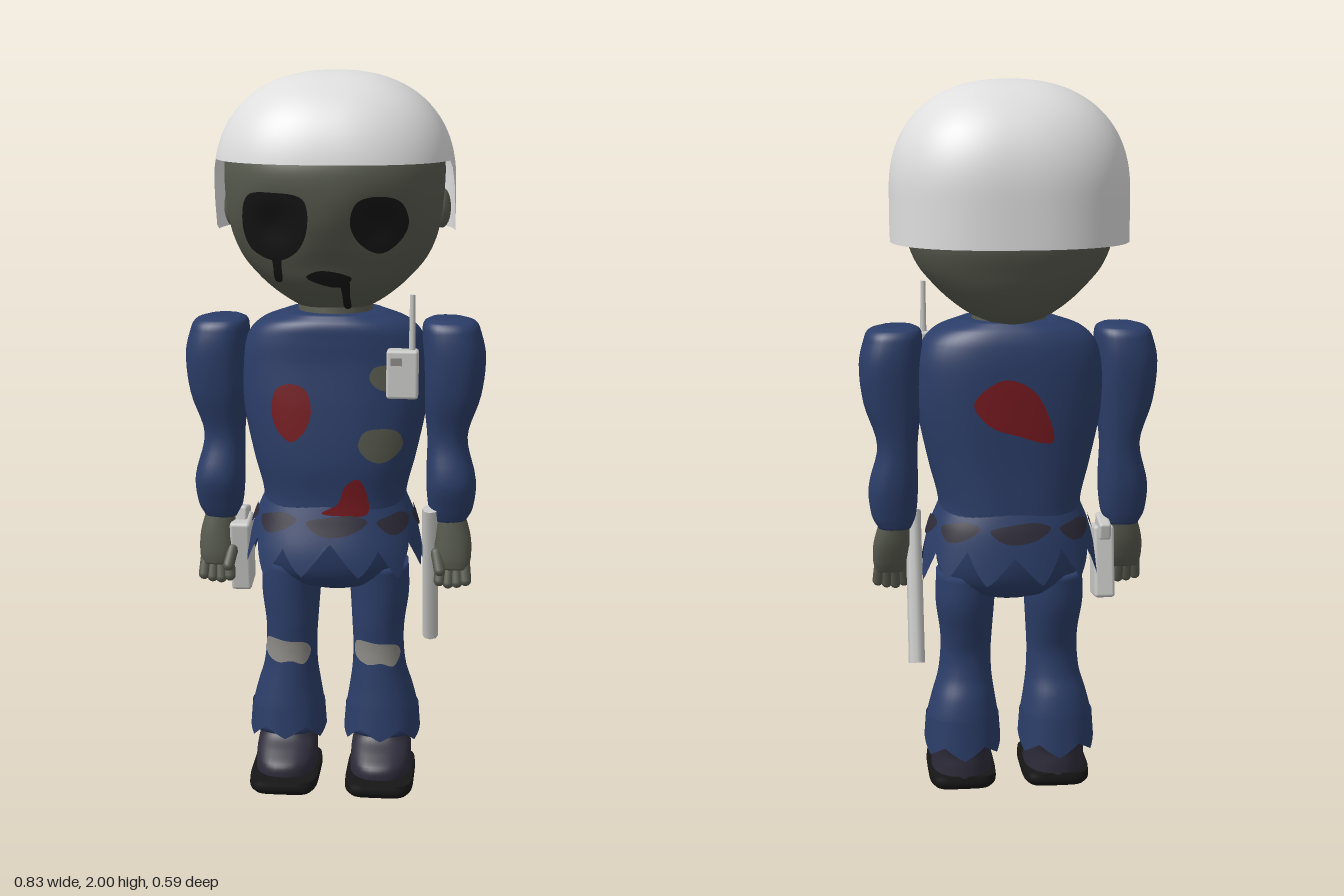
import * as THREE from 'three';
import { RoundedBoxGeometry } from 'three/addons/geometries/RoundedBoxGeometry.js';

const mat = (name, color, side = THREE.FrontSide) => {
  const m = new THREE.MeshStandardMaterial({ color, side });
  m.name = name;
  return m;
};

// Grid surface from fn(u, v); u wraps round
function grid(nu, nv, fn) {
  const pos = [], idx = [];
  for (let i = 0; i <= nv; i++)
    for (let j = 0; j < nu; j++) pos.push(...fn(j / nu, i / nv));
  for (let i = 0; i < nv; i++)
    for (let j = 0; j < nu; j++) {
      const a = i * nu + j, b = i * nu + (j + 1) % nu, c = a + nu, d = b + nu;
      idx.push(a, c, b, b, c, d);
    }
  const g = new THREE.BufferGeometry();
  g.setAttribute('position', new THREE.Float32BufferAttribute(pos, 3));
  g.setIndex(idx);
  g.computeVertexNormals();
  return g;
}

// Smooth cross-section [y, cx, cz, rx, rz] at height y
function section(r, y) {
  const last = r.length - 1;
  y = Math.min(Math.max(y, r[0][0]), r[last][0]);
  let i = 0;
  while (i < last - 1 && y > r[i + 1][0]) i++;
  const h = r[i + 1][0] - r[i][0], t = (y - r[i][0]) / h;
  const slope = (k, c) => {
    const p = r[Math.max(k - 1, 0)], q = r[Math.min(k + 1, last)];
    return (q[c] - p[c]) / (q[0] - p[0]);
  };
  return [1, 2, 3, 4].map(c =>
    r[i][c] * (2 * t ** 3 - 3 * t * t + 1) + slope(i, c) * h * (t ** 3 - 2 * t * t + t) +
    r[i + 1][c] * (3 * t * t - 2 * t ** 3) + slope(i + 1, c) * h * (t ** 3 - t * t));
}

const pw = (v, n) => Math.sign(v) * Math.abs(v) ** (2 / n);
const same = p => p;
function onLoft(r, n, a, y, k = 1) {
  const [cx, cz, rx, rz] = section(r, y);
  return [cx + k * rx * pw(Math.cos(a), n), y, cz + k * rz * pw(Math.sin(a), n)];
}

// Closed body through the sections, capped at both ends
function loft(r, n = 2, nu = 32, warp = same) {
  const ys = [r[0][0]];
  for (let i = 1; i < r.length; i++)
    for (let k = 1; k <= 5; k++) ys.push(r[i - 1][0] + (r[i][0] - r[i - 1][0]) * k / 5);
  const nv = ys.length + 1;
  return grid(nu, nv, (u, v) => {
    const i = Math.round(v * nv), k = i === 0 || i === nv ? 0 : 1;
    return warp(onLoft(r, n, u * Math.PI * 2, ys[Math.min(Math.max(i - 1, 0), ys.length - 1)], k));
  });
}

// Maps (x, y) onto the front (s = 1) or back (s = -1) of a loft
const face = (r, n, s = 1, warp = same) => (x, y) => {
  const [cx, cz, rx, rz] = section(r, y), px = s * x;
  const t = Math.min(1, Math.abs(px - cx) / rx);
  const p = warp([px, y, cz + s * rz * (1 - t ** n) ** (1 / n)]);
  p[2] += s * 0.006;
  return p;
};

// Thin painted patch, outline given counter-clockwise
function patch(pts, surf) {
  const curve = new THREE.CatmullRomCurve3(pts.map(p => new THREE.Vector3(p[0], p[1], 0)), true);
  const c = [0, 1].map(k => pts.reduce((s, p) => s + p[k], 0) / pts.length);
  return grid(48, 6, (u, v) => {
    const p = curve.getPoint(u);
    return surf(c[0] + (p.x - c[0]) * v, c[1] + (p.y - c[1]) * v);
  });
}
const oval = (x, y, rx, ry) => [0, 1, 2, 3, 4, 5, 6, 7].map(i => {
  const a = i * Math.PI / 4, w = 1 + 0.06 * Math.sin(i * 2.4);
  return [x + rx * w * Math.cos(a), y + ry * w * Math.sin(a)];
});
// Narrow vertical trickle
const drip = (x, top, bottom, w) => {
  const mid = (top + bottom) / 2;
  return [[x + w, mid], [x + w, top], [x - w, top], [x - w, mid], [x - w * 0.7, bottom], [x + w * 0.7, bottom]];
};
const zigzag = t => Math.abs(2 * (t - Math.floor(t)) - 1);

export function createModel() {
  const model = new THREE.Group();
  const cloth = mat('blue cloth', 0x2b3d68, THREE.DoubleSide);
  const skin = mat('grey green skin', 0x575a4e);
  const shell = mat('helmet white', 0xdedede, THREE.DoubleSide);
  const black = mat('black', 0x161616);
  const red = mat('dried red', 0x75191f);
  const dark = mat('dark violet', 0x2e2c3a);
  const metal = mat('light grey', 0xc8c8c6);
  const knee = mat('knee grey', 0x8c8a85);
  const add = (name, geo, m, parent = model) => {
    const mesh = new THREE.Mesh(geo, m);
    mesh.name = name;
    parent.add(mesh);
    return mesh;
  };

  // Head with sunken eye sockets
  const headR = [[1.35, 0, -0.025, 0.06, 0.09], [1.375, 0, -0.025, 0.115, 0.13], [1.41, 0, -0.018, 0.165, 0.17],
    [1.45, 0, -0.012, 0.208, 0.204], [1.5, 0, -0.01, 0.25, 0.228], [1.56, 0, -0.003, 0.277, 0.255],
    [1.62, 0, 0.012, 0.289, 0.268], [1.7, 0, 0.015, 0.297, 0.278], [1.77, 0, 0.01, 0.295, 0.278],
    [1.85, 0, 0, 0.265, 0.245], [1.92, 0, 0, 0.18, 0.16]];
  const sockets = ([x, y, z]) => {
    if (z > 0) for (const ex of [-0.14, 0.135])
      z -= 0.032 * Math.exp(-(((x - ex) / 0.07) ** 2) - ((y - 1.61) / 0.06) ** 2);
    return [x, y, z];
  };
  add('head', loft(headR, 2.3, 56, sockets), skin);
  const onFace = face(headR, 2.3, 1, sockets);
  add('rightEye', patch([[-0.05, 1.61], [-0.06, 1.68], [-0.14, 1.695], [-0.21, 1.685], [-0.23, 1.61],
    [-0.21, 1.54], [-0.14, 1.51], [-0.08, 1.54]], onFace), black);
  add('leftEye', patch(oval(0.135, 1.615, 0.075, 0.077), onFace), black);
  add('eyeDrip', patch(drip(-0.138, 1.54, 1.45, 0.012), onFace), black);
  add('mouth', patch([[0.06, 1.465], [0.03, 1.48], [-0.03, 1.485], [-0.06, 1.468], [-0.03, 1.45], [0.03, 1.44]], onFace), black);
  add('mouthDrip', patch(drip(0.042, 1.46, 1.37, 0.01), onFace), black);
  for (const s of [-1, 1]) {
    const ear = add('ear', new THREE.SphereGeometry(1, 16, 12), skin);
    ear.scale.set(0.024, 0.055, 0.035);
    ear.position.set(s * 0.288, 1.63, -0.04);
  }
  add('neck', new THREE.CylinderGeometry(0.1, 0.11, 0.1, 24), skin).position.y = 1.34;

  // Helmet: dome whose rim drops behind the temples
  add('helmet', grid(96, 30, (u, v) => {
    const a = u * Math.PI * 2, z = 0.298 * pw(Math.sin(a), 2.4);
    const rim = 1.568 + 0.2 * THREE.MathUtils.smoothstep(z, -0.02, 0.1);
    const y = rim + (2 - rim) * Math.sin(v * Math.PI / 2);
    const r = y > 1.7 ? Math.max(0, 1 - ((y - 1.7) / 0.3) ** 2.3) ** (1 / 2.3) : 1;
    return [0.326 * r * pw(Math.cos(a), 2.4), y, r * z + 0.003];
  }), shell);

  // Torso, hips and ragged shirt hem
  const torsoR = [[0.78, 0, 0.005, 0.2, 0.15], [0.85, 0, 0.005, 0.2, 0.15], [0.95, 0, 0.01, 0.225, 0.155],
    [1.1, 0, 0.005, 0.255, 0.156], [1.22, 0, 0, 0.258, 0.153], [1.29, 0, 0.003, 0.24, 0.15],
    [1.33, 0, 0.008, 0.2, 0.142], [1.355, 0, 0.008, 0.13, 0.122]];
  add('torso', loft(torsoR, 2.5, 48), cloth);
  add('hips', loft([[0.565, 0, 0, 0.06, 0.05], [0.59, 0, 0, 0.15, 0.105], [0.65, 0, 0, 0.2, 0.14],
    [0.75, 0, 0, 0.205, 0.15], [0.82, 0, 0, 0.195, 0.14]], 2.3, 40), cloth);
  const hemR = [[0.62, 0, 0.01, 0.255, 0.188], [0.7, 0, 0.01, 0.242, 0.18], [0.78, 0, 0.005, 0.222, 0.163],
    [0.84, 0, 0.005, 0.197, 0.146]];
  add('shirtHem', grid(120, 8, (u, v) => {
    const hem = 0.635 + 0.085 * zigzag(u * 12) ** 1.2 + 0.01 * Math.sin(u * 31.4);
    return onLoft(hemR, 2.3, u * Math.PI * 2, hem + (0.84 - hem) * v);
  }), cloth);
  for (let i = 0; i < 8; i++) {
    const a0 = Math.PI / 2 + (i - 0.1) * Math.PI / 4;
    add('beltPatch', patch([[0.33, 0.79], [0.15, 0.806], [-0.12, 0.8], [-0.33, 0.785], [-0.16, 0.752], [0.12, 0.758]],
      (x, y) => onLoft(hemR, 2.3, a0 - x, y, 1.025)), dark);
  }

  // Stains and tears in the shirt
  const chest = face(torsoR, 2.5), back = face(torsoR, 2.5, -1);
  add('chestStain', patch(oval(-0.108, 1.095, 0.055, 0.08), chest), red);
  add('bellyStain', patch([[0.1, 0.81], [0.1, 0.86], [0.075, 0.91], [0.04, 0.89], [0.02, 0.84], [-0.025, 0.812], [0.04, 0.805]], chest), red);
  add('backStain', patch([[0.105, 1.03], [0.09, 1.11], [0.045, 1.18], [-0.03, 1.205], [-0.11, 1.14], [-0.07, 1.08], [0.01, 1.05]], back), red);
  add('lowerTear', patch(oval(0.135, 1.005, 0.06, 0.048), chest), skin);
  add('upperTear', patch(oval(0.15, 1.19, 0.046, 0.035), chest), skin);

  for (const s of [-1, 1]) {
    const flip = r => r.map(([y, cx, ...rest]) => [y, s * cx, ...rest]);
    // Arm and hand
    add('sleeve', loft(flip([[0.765, 0.322, 0.01, 0.046, 0.046], [0.8, 0.324, 0.012, 0.062, 0.058],
      [0.88, 0.324, 0.016, 0.069, 0.077], [1, 0.312, 0.003, 0.056, 0.07], [1.12, 0.324, 0.01, 0.08, 0.09],
      [1.23, 0.328, 0.01, 0.087, 0.1], [1.3, 0.32, 0.01, 0.08, 0.094], [1.325, 0.315, 0.01, 0.07, 0.08],
      [1.335, 0.308, 0.01, 0.045, 0.055]]), 2.4), cloth);
    add('hand', loft(flip([[0.63, 0.335, 0.04, 0.04, 0.025], [0.66, 0.333, 0.033, 0.05, 0.034],
      [0.72, 0.33, 0.02, 0.051, 0.042], [0.8, 0.32, 0.01, 0.038, 0.042]]), 2.3, 20), skin);
    for (let i = 0; i < 4; i++) {
      const f = add('finger', new THREE.CapsuleGeometry(0.016, 0.05, 4, 10), skin);
      f.position.set(s * (0.298 + i * 0.023), 0.612 + Math.abs(i - 1.3) * 0.006, 0.045);
      f.rotation.set(-0.3, 0, s * (i - 1.5) * 0.06);
    }
    const thumb = add('thumb', new THREE.CapsuleGeometry(0.016, 0.05, 4, 10), skin);
    thumb.position.set(s * 0.292, 0.652, 0.058);
    thumb.rotation.set(-0.45, 0, s * 0.2);

    // Leg with torn cuff and bare knee
    const legR = flip([[0.14, 0.135, 0.005, 0.1, 0.095], [0.2, 0.135, 0.005, 0.103, 0.1], [0.27, 0.132, 0.007, 0.09, 0.092],
      [0.33, 0.127, 0.014, 0.077, 0.08], [0.4, 0.124, 0.015, 0.072, 0.075], [0.46, 0.123, 0.01, 0.074, 0.085],
      [0.55, 0.126, 0, 0.083, 0.1], [0.64, 0.122, 0, 0.085, 0.105]]);
    add('leg', loft(legR, 2.1), cloth);
    add('trouserCuff', grid(72, 5, (u, v) => {
      const a = u * Math.PI * 2, hem = 0.115 + 0.035 * zigzag(u * 6) + 0.015 * Math.sin(a);
      const p = onLoft(legR, 2.1, a, 0.2, 1.06 - 0.05 * v);
      p[1] = hem + (0.215 - hem) * v;
      return p;
    }), cloth);
    add('kneePatch', patch([[0.062, 0.385], [0.05, 0.41], [0, 0.418], [-0.06, 0.42], [-0.064, 0.375], [-0.03, 0.355], [0.01, 0.36], [0.045, 0.35]]
      .map(([x, y]) => [x + s * 0.127, y]), face(legR, 2.1)), knee);

    // Shoe
    add('shoe', loft(flip([[0.03, 0.135, 0.055, 0.087, 0.122], [0.07, 0.135, 0.053, 0.086, 0.12],
      [0.1, 0.135, 0.035, 0.085, 0.1], [0.13, 0.135, 0.01, 0.08, 0.08], [0.18, 0.135, 0, 0.07, 0.07]]), 2.4), dark);
    add('sole', loft(flip([[0, 0.135, 0.072, 0.085, 0.128], [0.015, 0.135, 0.072, 0.096, 0.14], [0.042, 0.135, 0.072, 0.095, 0.138]]), 5, 48), black);
  }

  // Radio at the chest
  const radio = new THREE.Group();
  radio.name = 'radio';
  radio.position.set(0.198, 1.22, 0.238);
  add('radioBody', new RoundedBoxGeometry(0.084, 0.13, 0.05, 2, 0.008), metal, radio);
  add('radioAntenna', new THREE.CylinderGeometry(0.007, 0.009, 0.15, 8), metal, radio).position.set(0.025, 0.135, 0);
  add('radioScreen', new THREE.BoxGeometry(0.03, 0.02, 0.006), knee, radio).position.set(-0.015, 0.035, 0.024);
  model.add(radio);

  // Baton on the left hip
  const baton = add('baton', new THREE.CylinderGeometry(0.022, 0.023, 0.43, 8), metal);
  baton.position.set(0.268, 0.597, -0.012);
  baton.rotation.x = 0.3;

  // Holster with pistol grip on the right hip
  const holster = new THREE.Group();
  holster.name = 'holster';
  holster.position.set(-0.266, 0.655, 0);
  holster.rotation.x = 0.15;
  add('holsterBody', new RoundedBoxGeometry(0.058, 0.205, 0.1, 2, 0.01), metal, holster);
  const grip = add('pistolGrip', new RoundedBoxGeometry(0.034, 0.05, 0.09, 2, 0.008), metal, holster);
  grip.position.set(0, 0.1, -0.03);
  grip.rotation.x = -0.35;
  model.add(holster);

  return model;
}
